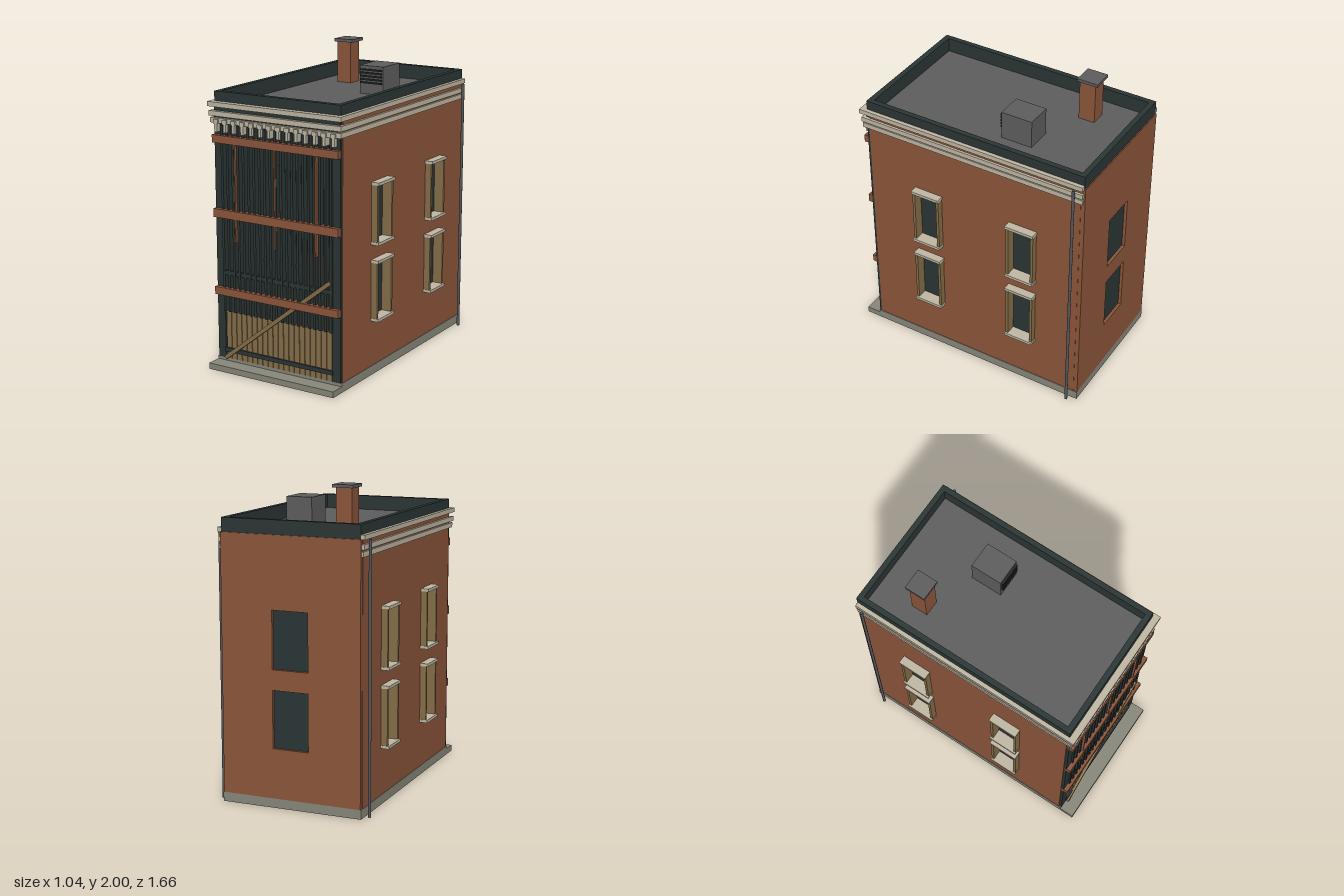
import * as THREE from 'three';

const mat = (name, color) => {
  const m = new THREE.MeshStandardMaterial({ color });
  m.name = name;
  return m;
};

export function createModel() {
  const brick = mat('brick', 0x8d563b);
  const dark = mat('dark paint', 0x2b3635);
  const cream = mat('cream trim', 0xc0b8a4);
  const gold = mat('ochre wood', 0x866e48);
  const grey = mat('roof grey', 0x5e5e5e);
  const stone = mat('base stone', 0x88877b);
  const pipeGrey = mat('pipe grey', 0x54575b);
  const black = mat('louvre black', 0x2a2b2c);

  const model = new THREE.Group();
  model.name = 'townhouse';

  // Box given by its minimum and maximum on each axis
  const box = (name, m, x0, x1, y0, y1, z0, z1) => {
    const mesh = new THREE.Mesh(new THREE.BoxGeometry(x1 - x0, y1 - y0, z1 - z0), m);
    mesh.position.set((x0 + x1) / 2, (y0 + y1) / 2, (z0 + z1) / 2);
    mesh.name = name;
    model.add(mesh);
    return mesh;
  };
  // The same box on both sides, given for the +x side
  const pair = (name, m, x0, x1, ...rest) => {
    box(name + 'Left', m, x0, x1, ...rest);
    box(name + 'Right', m, -x1, -x0, ...rest);
  };

  // Brick wall with window openings on two storeys
  const storeys = [[0.38, 0.75], [0.88, 1.25]];
  const wall = (name, u0, u1, centres, half, depth) => {
    const shape = new THREE.Shape();
    shape.moveTo(u0, 0.06).lineTo(u1, 0.06).lineTo(u1, 1.71).lineTo(u0, 1.71);
    for (const c of centres) {
      for (const [y0, y1] of storeys) {
        const hole = new THREE.Path();
        hole.moveTo(c - half, y0).lineTo(c - half, y1).lineTo(c + half, y1).lineTo(c + half, y0);
        shape.holes.push(hole);
      }
    }
    const mesh = new THREE.Mesh(
      new THREE.ExtrudeGeometry(shape, { depth, bevelEnabled: false }), brick);
    mesh.name = name;
    model.add(mesh);
    return mesh;
  };

  // Base and front step
  box('base', stone, -0.47, 0.47, 0, 0.06, -0.83, 0.73);
  box('frontStep', stone, -0.47, 0.47, 0, 0.04, 0.73, 0.83);

  // Brick core with outer walls on the sides and back
  box('core', brick, -0.437, 0.437, 0.06, 1.685, -0.803, 0.69);
  wall('backWall', -0.465, 0.465, [0], 0.12, 0.027).position.z = -0.83;
  for (const [name, x] of [['sideWallLeft', 0.437], ['sideWallRight', -0.467]]) {
    const side = wall(name, -0.715, 0.803, [-0.28, 0.41], 0.09, 0.03);
    side.rotation.y = Math.PI / 2;
    side.position.x = x;
  }

  // Recessed glass, with jambs, lintels and sills on the sides
  for (const [y0, y1] of storeys) {
    box('backGlass', dark, -0.12, 0.12, y0, y1, -0.81, -0.802);
    for (const z of [0.28, -0.41]) {
      pair('sideGlass', dark, 0.435, 0.442, y0, y1, z - 0.09, z + 0.09);
      for (const s of [-1, 1]) {
        const c = z + s * 0.088;
        pair('jamb', gold, 0.436, 0.51, y0, y1, c - 0.009, c + 0.009);
      }
      pair('sill', cream, 0.437, 0.522, y0 - 0.016, y0 + 0.003, z - 0.1, z + 0.1);
      pair('lintel', cream, 0.437, 0.522, y1 - 0.003, y1 + 0.016, z - 0.1, z + 0.1);
    }
  }

  // Front: recessed backing and corner posts
  box('frontBacking', dark, -0.437, 0.437, 0.85, 1.69, 0.69, 0.71);
  box('frontBrickBand', brick, -0.437, 0.437, 0.77, 0.85, 0.69, 0.71);
  pair('cornerPost', dark, 0.405, 0.462, 0.06, 1.6, 0.69, 0.733);

  // Front slats over timber boards
  const count = 20, pitch = 0.04;
  for (let i = 0; i < count; i++) {
    const x = (i - (count - 1) / 2) * pitch;
    box('gateBoard', gold, x - 0.018, x + 0.018, 0.06, 0.38, 0.69, 0.73);
    box('upperBoard', gold, x - 0.018, x + 0.018, 0.38, 0.77, 0.69, 0.712);
  }
  for (let i = 0; i <= count; i++) {
    const x = (i - count / 2) * pitch;
    box('slat', dark, x - 0.008, x + 0.008, 0.38, 1.6, 0.69, 0.745);
  }
  for (const x of [-0.298, 0, 0.298]) {
    box('brickMullion', brick, x - 0.005, x + 0.005, 0.85, 1.5, 0.69, 0.756);
  }

  // Gate rails and diagonal brace
  for (const y of [0.105, 0.625]) {
    box('gateRail', dark, -0.41, 0.41, y, y + 0.028, 0.7, 0.742);
  }
  const brace = box('brace', gold, -0.51, 0.51, -0.013, 0.013, 0.735, 0.754);
  brace.position.y = 0.385;
  brace.rotation.z = Math.atan2(0.64, 0.8);

  // Brick floor beams across the front
  for (const [y0, y1] of [[0.49, 0.54], [1.0, 1.055], [1.48, 1.53]]) {
    box('floorBeam', brick, -0.462, 0.462, y0, y1, 0.69, 0.762);
  }

  // Cornice bands around the front and sides, with stepped brackets below
  for (const [y0, y1, x, z] of [[1.605, 1.637, 0.478, 0.755], [1.648, 1.68, 0.483, 0.76], [1.708, 1.738, 0.488, 0.77]]) {
    box('corniceFront', cream, -x, x, y0, y1, 0.71, z);
    pair('corniceSide', cream, 0.45, x, y0, y1, -0.82, 0.71);
  }
  box('corniceRecess', dark, -0.46, 0.46, 1.6, 1.71, 0.7, 0.735);
  for (let i = 0; i < 14; i++) {
    const x = (i - 6.5) * 0.066;
    box('bracket', cream, x - 0.01, x + 0.01, 1.55, 1.605, 0.7, 0.765);
    box('bracketHead', cream, x - 0.017, x + 0.017, 1.603, 1.63, 0.7, 0.767);
  }

  // Parapet around a flat roof
  box('roof', grey, -0.435, 0.435, 1.68, 1.705, -0.795, 0.695);
  pair('parapetSide', dark, 0.427, 0.462, 1.69, 1.8, -0.823, 0.727);
  box('parapetFront', dark, -0.427, 0.427, 1.69, 1.8, 0.69, 0.727);
  box('parapetBack', dark, -0.427, 0.427, 1.69, 1.8, -0.823, -0.788);

  // Chimney
  box('chimney', brick, -0.285, -0.18, 1.7, 1.98, -0.54, -0.43);
  box('chimneyCap', grey, -0.3, -0.163, 1.98, 2.0, -0.56, -0.42);

  // Roof vent unit with louvres
  box('ventUnit', grey, 0.075, 0.25, 1.7, 1.89, -0.34, -0.128);
  for (let i = 0; i < 5; i++) {
    const y = 1.775 + i * 0.021;
    box('louvre', black, 0.083, 0.242, y, y + 0.01, -0.13, -0.115);
  }

  // Downpipes
  for (const s of [-1, 1]) {
    const pipe = new THREE.Mesh(new THREE.CylinderGeometry(0.01, 0.01, 1.71, 8), pipeGrey);
    pipe.position.set(s * 0.5, 0.855, -0.768);
    pipe.name = s > 0 ? 'downpipeLeft' : 'downpipeRight';
    model.add(pipe);
  }
  return model;
}
